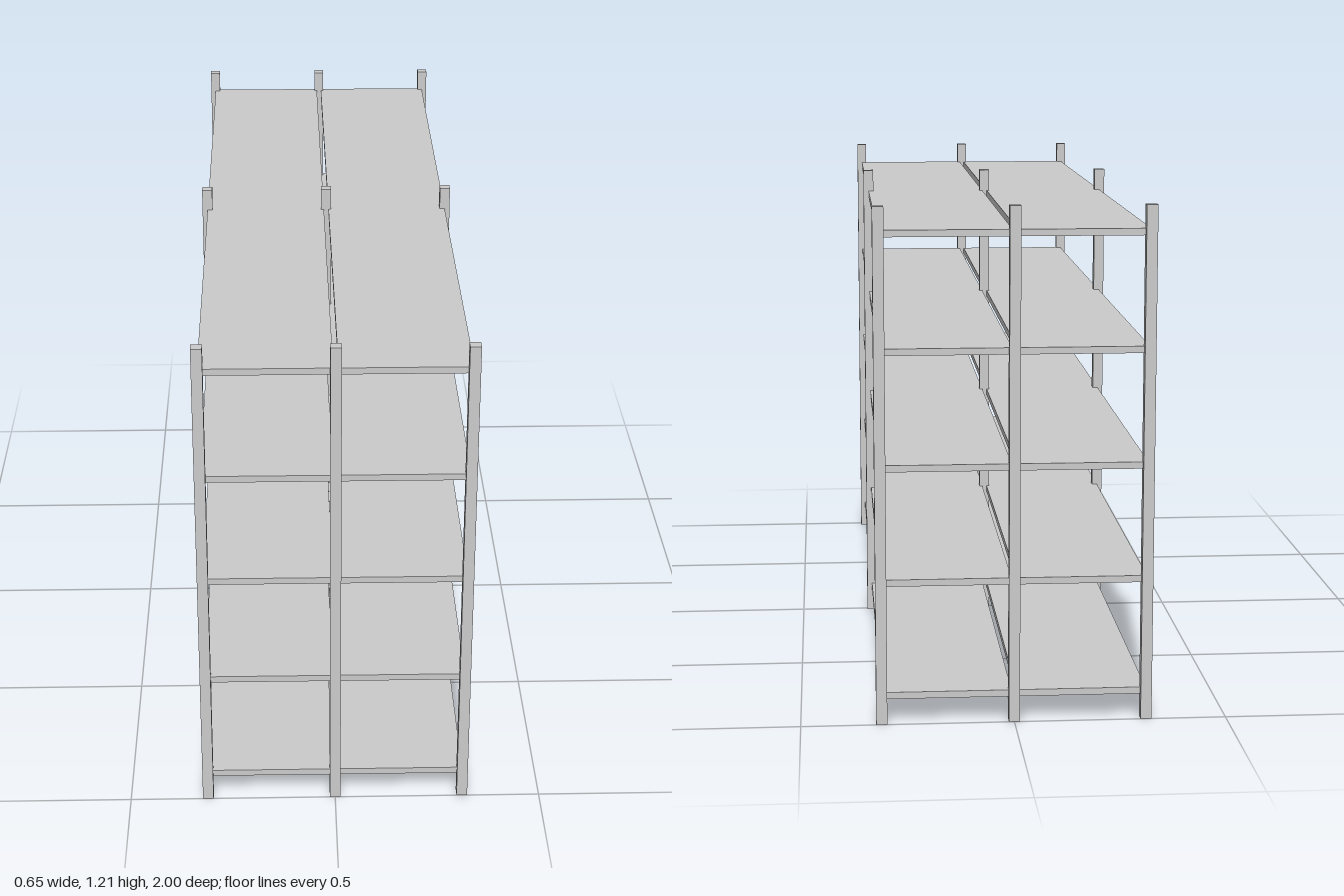
import * as THREE from 'three';

export function createModel() {
  const model = new THREE.Group();
  const material = new THREE.MeshStandardMaterial({ color: 0xcccccc });

  const height = 1.213, post = 0.026;
  const postX = 0.311, postZ = 1 - post / 2;
  const gap = 0.012, thickness = 0.016;

  function addBox(name, w, h, d, x, y, z) {
    const mesh = new THREE.Mesh(new THREE.BoxGeometry(w, h, d), material);
    mesh.name = name;
    mesh.position.set(x, y, z);
    model.add(mesh);
  }

  // Nine square posts in a 3 x 3 layout
  for (const x of [-postX, 0, postX])
    for (const z of [-postZ, 0, postZ])
      addBox('post', post, height, post, x, height / 2, z);

  // Five levels, each with two long boards separated by a narrow slot
  const boardWidth = postX - gap / 2;
  for (let level = 0; level < 5; level++) {
    const y = 0.066 + level * 0.271;
    for (const side of [-1, 1])
      addBox(side > 0 ? 'leftShelf' : 'rightShelf', boardWidth, thickness, postZ * 2,
        side * (gap / 2 + boardWidth / 2), y, 0);
  }

  return model;
}
